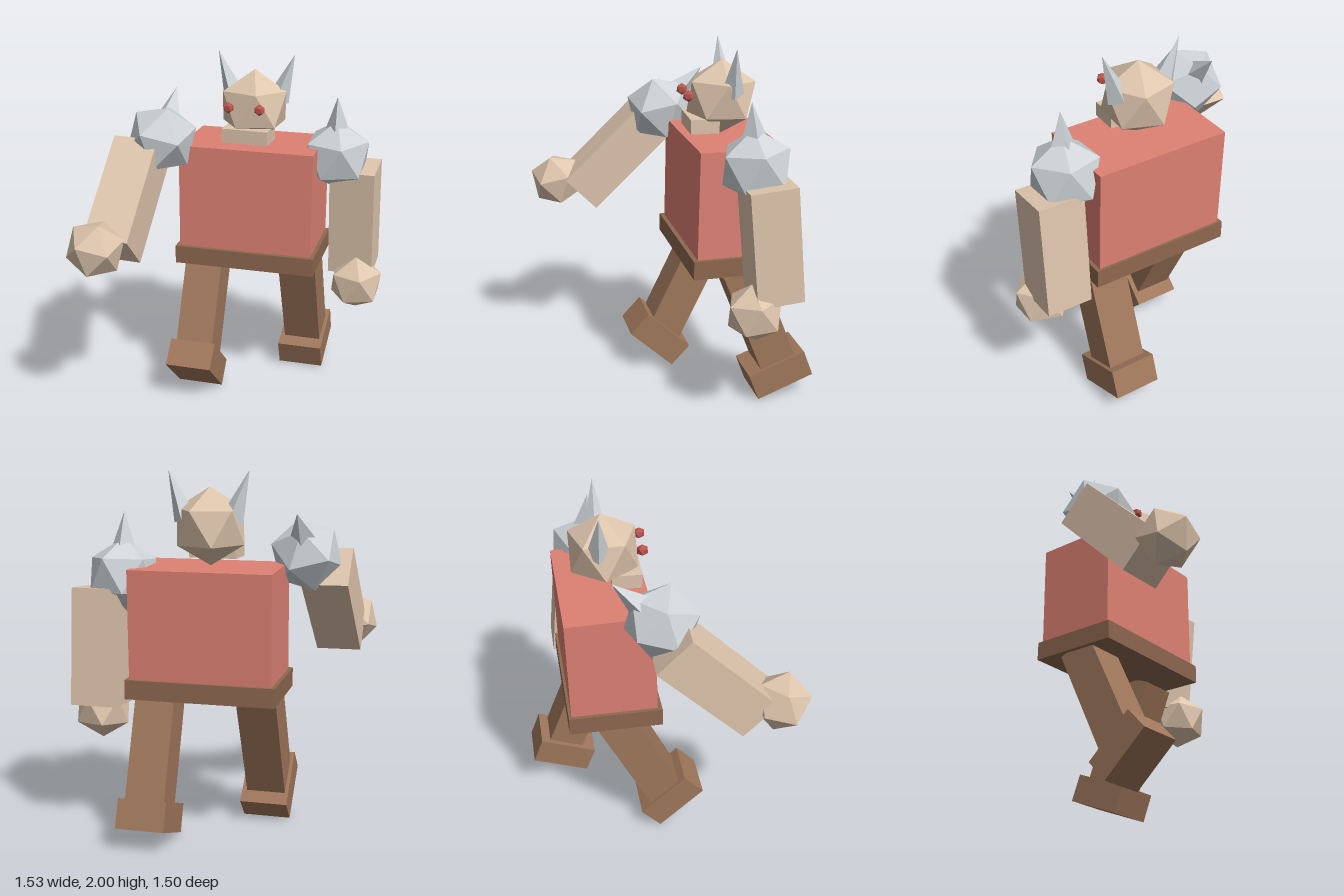
import * as THREE from 'three';

const makeMaterial = (name, color) => {
  const m = new THREE.MeshStandardMaterial({ color });
  m.name = name;
  return m;
};

// Twenty-sided ball standing on a corner, with flat faces
function facetedBall(r) {
  const points = [0, r, 0];
  for (const side of [1, -1]) {
    for (let i = 0; i < 5; i++) {
      const a = (i * 2 * Math.PI) / 5;
      points.push(side * 0.8944 * r * Math.cos(a), side * 0.4472 * r, side * 0.8944 * r * Math.sin(a));
    }
  }
  points.push(0, -r, 0);
  const faces = [];
  for (let i = 0; i < 5; i++) {
    const u = 1 + i, v = 1 + ((i + 1) % 5);
    // lower corners on either side of upper corner v
    const l = 6 + ((i + 3) % 5), n = 6 + ((i + 4) % 5);
    faces.push(0, v, u, u, v, l, v, n, l, l, n, 11);
  }
  const g = new THREE.BufferGeometry();
  g.setAttribute('position', new THREE.Float32BufferAttribute(points, 3));
  g.setIndex(faces);
  const flat = g.toNonIndexed();
  flat.computeVertexNormals();
  return flat;
}

// Four-sided spike from a base point to a tip
function spike(r, base, tip) {
  const from = new THREE.Vector3(...base);
  const dir = new THREE.Vector3(...tip).sub(from);
  const length = dir.length();
  const g = new THREE.ConeGeometry(r, length, 4).toNonIndexed();
  g.computeVertexNormals();
  g.translate(0, length / 2, 0);
  g.applyQuaternion(new THREE.Quaternion().setFromUnitVectors(new THREE.Vector3(0, 1, 0), dir.normalize()));
  g.translate(from.x, from.y, from.z);
  return g;
}

export function createModel() {
  const skin = makeMaterial('tan skin', 0xdec5ad);
  const red = makeMaterial('red tunic', 0xde8174);
  const brown = makeMaterial('brown leather', 0x9f775b);
  const beltBrown = makeMaterial('belt brown', 0x8e684f);
  const steel = makeMaterial('grey steel', 0xced4d8);
  const eyeRed = makeMaterial('eye red', 0xbc544d);

  const model = new THREE.Group();
  model.name = 'ogre';

  const add = (parent, name, geometry, material, pos = [0, 0, 0], pitch = 0, yaw = 0) => {
    const mesh = new THREE.Mesh(geometry, material);
    mesh.name = name;
    mesh.position.set(...pos);
    mesh.rotation.set(pitch, yaw, 0, 'YXZ');
    parent.add(mesh);
  };
  const box = (w, h, d) => new THREE.BoxGeometry(w, h, d);

  // Trunk, turned slightly
  const yaw = 0.05;
  add(model, 'torso', box(0.775, 0.69, 0.475), red, [0.004, 1.145, -0.28], -0.02, yaw);
  add(model, 'belt', box(0.818, 0.105, 0.515), beltBrown, [0.005, 0.842, -0.27], 0, yaw);

  // Legs in mid-stride: hip, ankle and foot given as [x, y, z]
  const leg = (side, hip, ankle, foot, footPitch) => {
    const a = new THREE.Vector3(...hip), b = new THREE.Vector3(...ankle);
    const pitch = Math.atan2(a.z - b.z, a.y - b.y);
    const mid = a.clone().add(b).multiplyScalar(0.5).toArray();
    add(model, side + 'Leg', box(0.22, a.distanceTo(b), 0.21), brown, mid, pitch, yaw);
    add(model, side + 'Foot', box(0.268, 0.16, 0.345), brown, foot, footPitch, yaw);
  };
  leg('right', [-0.265, 0.82, -0.262], [-0.258, 0.21, 0.035], [-0.248, 0.178, 0.063], -0.75);
  leg('left', [0.278, 0.8, -0.305], [0.272, 0.155, -0.557], [0.266, 0.145, -0.547], 0.36);

  // Arms swing about the shoulder balls
  const arm = (side, s, pos, swing, roll) => {
    const g = new THREE.Group();
    g.name = side + 'Arm';
    g.position.set(...pos);
    g.rotation.set(swing, 0.03, roll, 'YXZ');
    add(g, side + 'ShoulderGuard', facetedBall(0.205), steel);
    add(g, side + 'ShoulderSpike', spike(0.09, [0, 0.09, 0], [0, 0.345, 0]), steel);
    add(g, side + 'Forearm', box(0.257, 0.637, 0.257), skin, [s * 0.108, -0.387, -0.025]);
    add(g, side + 'Fist', facetedBall(0.165), skin, [s * 0.147, -0.758, 0.1]);
    model.add(g);
  };
  arm('right', -1, [-0.465, 1.535, -0.012], -0.8, -0.025);
  arm('left', 1, [0.475, 1.43, -0.348], 0.09, 0);

  // Head with jaw, eyes and horns
  const head = new THREE.Group();
  head.name = 'head';
  model.add(head);
  add(head, 'skull', facetedBall(0.21), skin, [0.005, 1.7, -0.267], -0.03);
  add(head, 'jaw', box(0.265, 0.08, 0.16), skin, [0.005, 1.565, -0.152]);
  for (const [side, s] of [['left', 1], ['right', -1]]) {
    add(head, side + 'Eye', facetedBall(0.033), eyeRed, [0.005 + s * 0.09, 1.73, -0.066]);
    add(head, side + 'Horn', spike(0.065, [0.005 + s * 0.13, 1.74, -0.3], [0.005 + s * 0.224, 2, -0.298]), steel);
  }
  return model;
}
